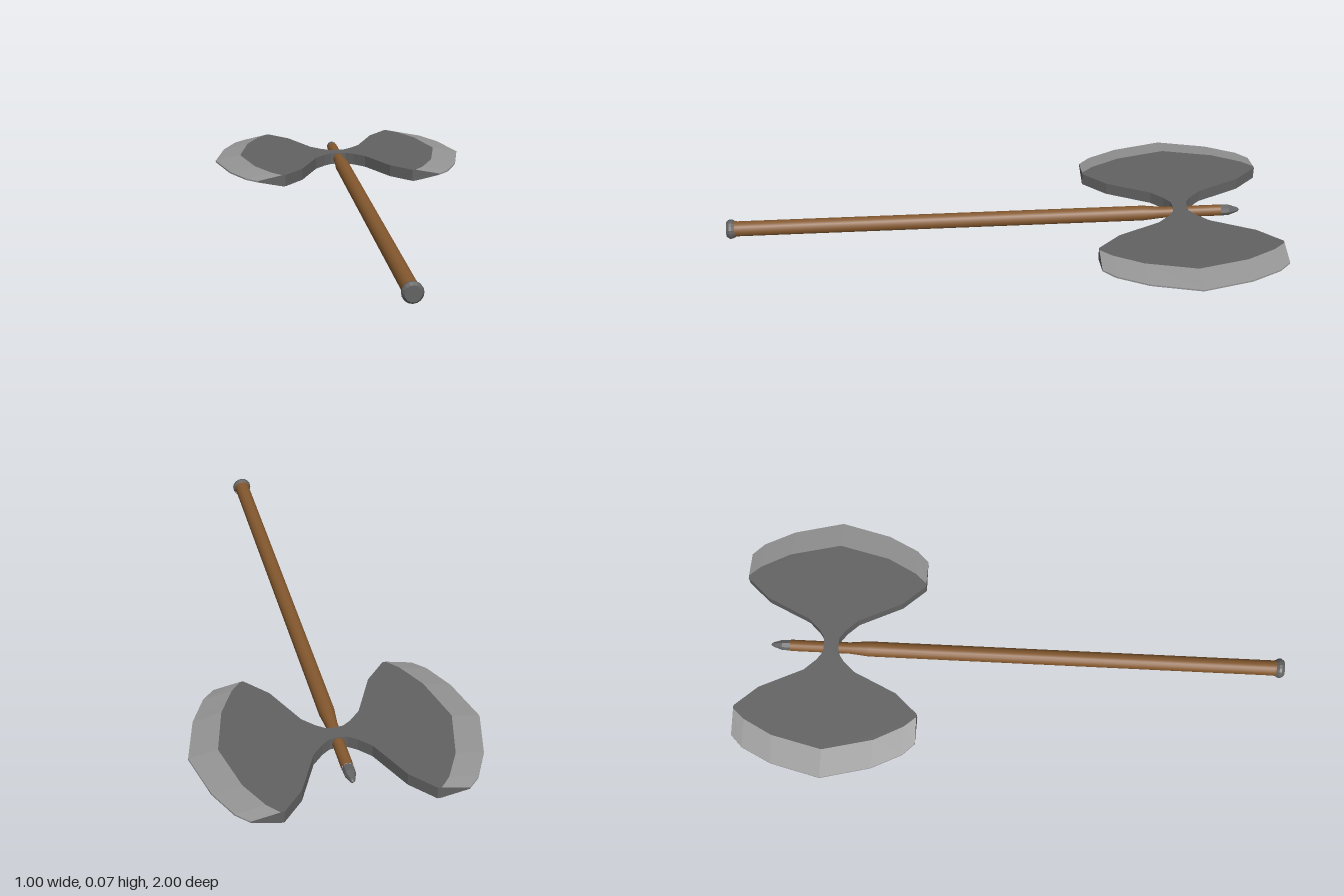
import * as THREE from 'three';

const AXIS_Y = 0.036; // height of the shaft axis
const HEAD_Z = -0.667; // centre of the axe head
const HALF = 0.0225; // half thickness of the blades
const EDGE = 0.003; // half thickness of the cutting edge

const wood = new THREE.MeshStandardMaterial({ color: 0x85592f });
wood.name = 'wood';
const iron = new THREE.MeshStandardMaterial({ color: 0x626262 });
iron.name = 'darkIron';
const steel = new THREE.MeshStandardMaterial({ color: 0x959595 });
steel.name = 'sharpenedSteel';

// Quarter outlines as [x, distance from the head centre along z]
const waist = [[0, 0.026], [0.03, 0.029], [0.06, 0.05], [0.1, 0.092], [0.175, 0.25], [0.25, 0.333]];
const bevelInner = [[0.262, 0.333], [0.3, 0.29], [0.355, 0.185], [0.4, 0]];
const bevelOuter = [[0.357, 0.333], [0.4, 0.29], [0.455, 0.18], [0.5, 0]];

// Mirrors a quarter curve that ends on the x axis into a full curve
const mirrorCurve = (pts) => [...pts, ...pts.slice(0, -1).reverse().map(([x, z]) => [x, -z])];

function add(group, name, geometry, material) {
  const mesh = new THREE.Mesh(geometry, material);
  mesh.name = name;
  group.add(mesh);
}

// Flat-shaded geometry from polygons with corners in counter-clockwise order
function fromPolygons(polygons) {
  const out = [];
  for (const p of polygons) {
    for (let i = 1; i < p.length - 1; i++) out.push(...p[0], ...p[i], ...p[i + 1]);
  }
  const g = new THREE.BufferGeometry();
  g.setAttribute('position', new THREE.Float32BufferAttribute(out, 3));
  g.computeVertexNormals();
  return g;
}

// Round part along z from [radius, z] points listed from back to front
function turned(profile, segments = 16) {
  const g = new THREE.LatheGeometry(profile.map(([r, z]) => new THREE.Vector2(r, z)), segments);
  g.rotateX(Math.PI / 2);
  g.translate(0, AXIS_Y, 0);
  return g;
}

export function createModel() {
  const group = new THREE.Group();
  group.name = 'doubleAxe';

  // Shaft, slimmer where it passes through the head
  add(group, 'shaft', turned([[0.021, -0.82], [0.021, -0.6], [0.028, -0.53], [0.028, 0.962], [0.031, 0.975]]), wood);

  // Pommel with bevelled rims
  const pommel = turned([[0.031, 0.97], [0.036, 0.98], [0.036, 0.989], [0.028, 1], [0, 1]]).toNonIndexed();
  pommel.computeVertexNormals();
  add(group, 'pommel', pommel, iron);

  // Pointed tip
  const tip = turned([[0, -0.892], [0.008, -0.885], [0.02, -0.85], [0.021, -0.82], [0, -0.82]], 8).toNonIndexed();
  tip.computeVertexNormals();
  add(group, 'tip', tip, iron);

  // Flat body of both blades, joined by the narrow waist
  const half = [...waist, ...mirrorCurve(bevelInner), ...waist.map(([x, z]) => [x, -z]).reverse()];
  const outline = [...half, ...half.slice(1, -1).reverse().map(([x, z]) => [-x, z])];
  const body = new THREE.ExtrudeGeometry(
    new THREE.Shape(outline.map(([x, z]) => new THREE.Vector2(x, z))),
    { depth: HALF * 2, bevelEnabled: false },
  );
  body.rotateX(-Math.PI / 2);
  body.translate(0, AXIS_Y + 0.001 - HALF, HEAD_Z);
  add(group, 'bladeBody', body, iron);

  // Sharpened bevels, one set per side
  const inner = mirrorCurve(bevelInner);
  const outer = mirrorCurve(bevelOuter);
  for (const s of [1, -1]) {
    const at = ([x, z], h) => [s * x, AXIS_Y + 0.001 + h, HEAD_Z + z];
    const order = (p) => (s > 0 ? p : p.reverse());
    const section = (i) => [at(inner[i], HALF), at(outer[i], EDGE), at(outer[i], -EDGE), at(inner[i], -HALF)];
    const faces = [];
    for (let i = 0; i < inner.length - 1; i++) {
      const a = section(i);
      const b = section(i + 1);
      for (let k = 0; k < 3; k++) faces.push(order([a[k], a[k + 1], b[k + 1], b[k]]));
    }
    const side = s > 0 ? 'left' : 'right';
    add(group, side + 'BladeBevel', fromPolygons(faces), steel);

    // Wedge-shaped ends of the bevel
    const ends = [order(section(0).reverse()), order(section(inner.length - 1))];
    add(group, side + 'BladeEnds', fromPolygons(ends), iron);
  }
  return group;
}
